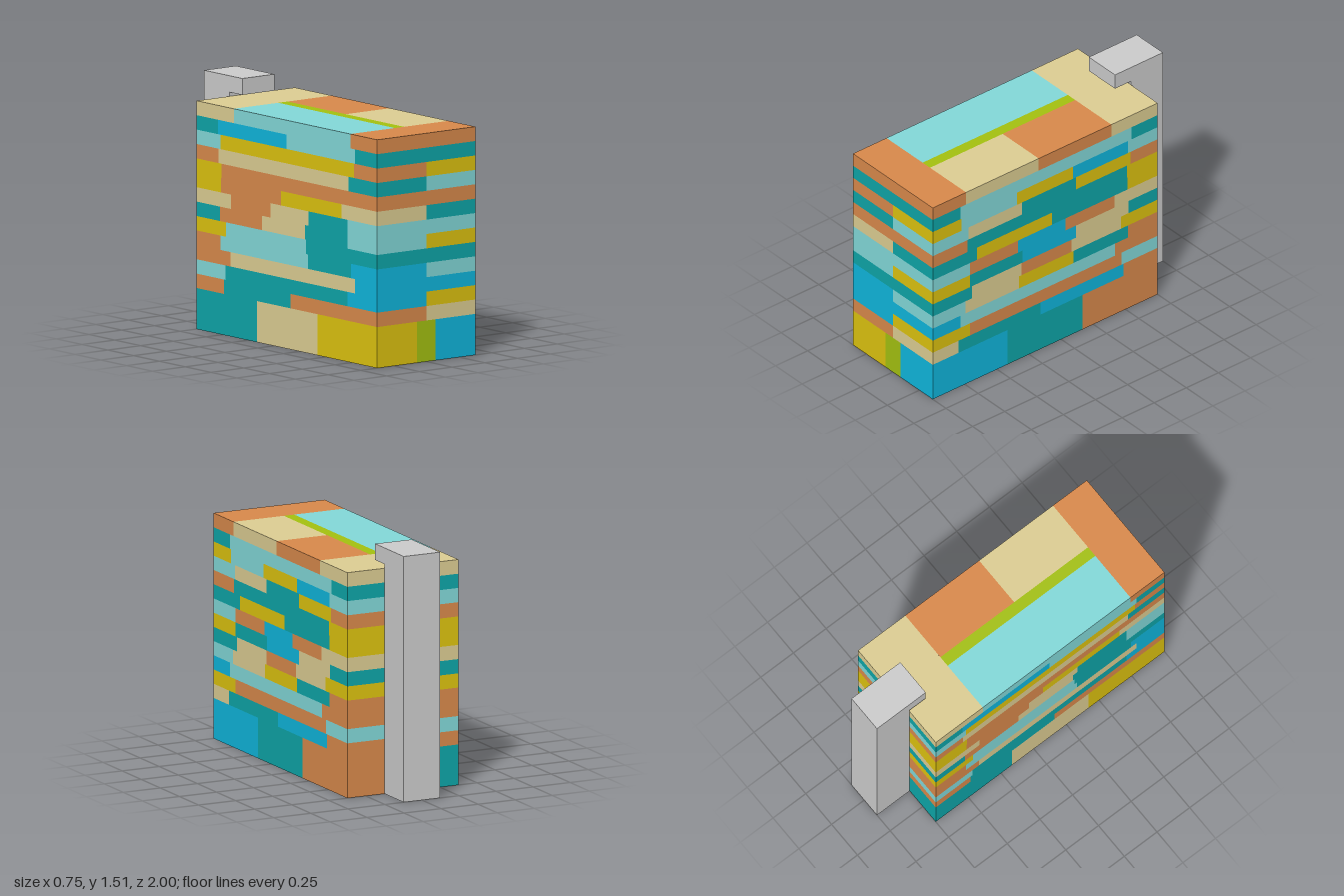
import * as THREE from 'three';

const COLORS = {
  O: 0xd8894b, T: 0x0ea5a8, C: 0x82d8d8, Y: 0xdcc20f,
  B: 0x0fb6dc, S: 0xdccd92, G: 0xa3c010, M: 0xcccccc,
};
const materials = {};
for (const k in COLORS) materials[k] = new THREE.MeshStandardMaterial({ color: COLORS[k] });
materials.M.color.set(0xcccccc);

const HALF_W = 0.375, FRONT = 1, BACK = -0.75, BASE_H = 0.25, TOP = 1.39;

// Each course: joints from front to back, then block colours on the +x and -x sides
const COURSES = [
  [[0.80, 0.16, -0.485], 'STBO', 'OOTO'],
  [[0.71, -0.47], 'YOC', 'BTC'],
  [[0.785, -0.42], 'BCO', 'BSO'],
  [[0.745, 0.33, -0.095, -0.52], 'CSYTO', 'BTCCO'],
  [[0.695, 0.31, -0.08, -0.465], 'TSOSY', 'TTCCY'],
  [[0.71, 0.30, -0.115, -0.525], 'YTBST', 'CTSOT'],
  [[0.71, 0.335, -0.035, -0.415], 'COBOS', 'CTSOS'],
  [[0.655, 0.07, -0.515], 'TYTY', 'SYOY'],
  [[0.73, -0.51], 'OTY', 'OOY'],
  [[0.72, 0.305, -0.115, -0.54], 'CSTYO', 'TSSSO'],
  [[0.775, 0.345, -0.09, -0.52], 'YCYBC', 'OYYYC'],
  [[0.785, 0.12, -0.545], 'TCCT', 'TCBT'],
  [[0.74, 0.175, -0.39], 'OSOS', 'OCCS'],
];

// Box given by its two extents on each axis
function block(parent, name, color, x0, x1, y0, y1, z0, z1) {
  const mesh = new THREE.Mesh(new THREE.BoxGeometry(x1 - x0, y1 - y0, z1 - z0), materials[color]);
  mesh.position.set((x0 + x1) / 2, (y0 + y1) / 2, (z0 + z1) / 2);
  mesh.name = name;
  parent.add(mesh);
}

// One course of blocks on both sides; middle blocks stop at the core strip
function course(parent, name, y0, y1, joints, rightSide, leftSide, coreHalf, endHalf) {
  const cuts = [FRONT, ...joints, BACK];
  for (let i = 0; i < cuts.length - 1; i++) {
    const isEnd = i === 0 || i === cuts.length - 2;
    const inner = isEnd ? endHalf : coreHalf;
    block(parent, name, rightSide[i], inner, HALF_W, y0, y1, cuts[i + 1], cuts[i]);
    block(parent, name, leftSide[i], -HALF_W, -inner, y0, y1, cuts[i + 1], cuts[i]);
  }
}

export function createModel() {
  const model = new THREE.Group();
  model.name = 'blockStack';

  // Base layer of tall blocks either side of a long strip
  const base = new THREE.Group();
  base.name = 'base';
  course(base, 'baseBlock', 0, BASE_H, [0.42, -0.165], 'BTO', 'YST', 0.07, 0.07);
  block(base, 'baseStrip', 'G', -0.07, 0.07, 0, BASE_H, BACK, FRONT);
  model.add(base);

  // Thirteen thin courses with staggered joints
  const courses = new THREE.Group();
  courses.name = 'courses';
  const h = (TOP - BASE_H) / COURSES.length;
  COURSES.forEach(([joints, right, left], i) => {
    const y = BASE_H + i * h;
    course(courses, 'courseBlock', y, y + h, joints, right, left, 0.035, 0);
    block(courses, 'coreStrip', 'G', -0.035, 0.035, y, y + h, joints[joints.length - 1], joints[0]);
  });
  model.add(courses);

  // Rear post with a short arm reaching over the top
  const post = new THREE.Group();
  post.name = 'rearPost';
  block(post, 'post', 'M', -0.123, 0.123, 0, 1.515, -1, BACK);
  block(post, 'postArm', 'M', -0.123, 0.123, 1.415, 1.515, BACK, -0.627);
  model.add(post);

  return model;
}
